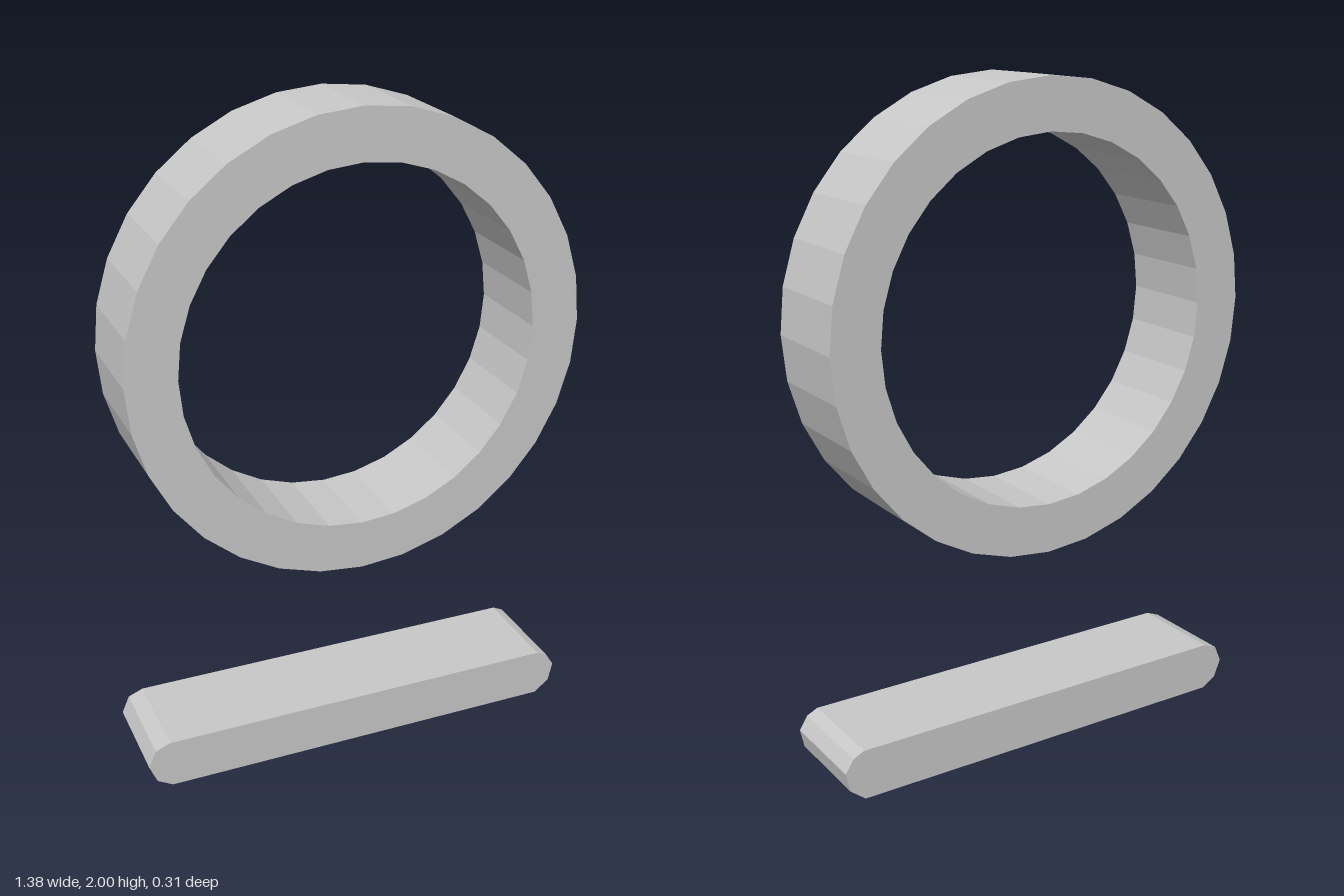
import * as THREE from 'three';

const DEPTH = 0.305;

// Points of a regular polygon, first corner at the top
function circlePoints(radius, sides) {
  const points = [];
  for (let i = 0; i < sides; i++) {
    const a = Math.PI / 2 + (i / sides) * Math.PI * 2;
    points.push(new THREE.Vector2(Math.cos(a) * radius, Math.sin(a) * radius));
  }
  return points;
}

// Flat-faced extrusion centred on z = 0
function extrude(name, shape, material) {
  const geometry = new THREE.ExtrudeGeometry(shape, { depth: DEPTH, bevelEnabled: false });
  geometry.translate(0, 0, -DEPTH / 2);
  const mesh = new THREE.Mesh(geometry, material);
  mesh.name = name;
  return mesh;
}

export function createModel() {
  const group = new THREE.Group();
  group.name = 'ringAndBar';
  const grey = new THREE.MeshStandardMaterial({ color: 0xc8c8c8 });
  grey.name = 'light grey';

  // Upright ring with 32 facets
  const ringShape = new THREE.Shape(circlePoints(0.69, 32));
  ringShape.holes.push(new THREE.Path(circlePoints(0.54, 32)));
  const ring = extrude('ring', ringShape, grey);
  ring.position.y = 1.31;
  group.add(ring);

  // Floating base bar with faceted, slightly uneven rounded ends
  const profile = [
    [-0.62, 0], [0.63, 0], [0.677, 0.038], [0.69, 0.096], [0.664, 0.137], [0.63, 0.153],
    [-0.622, 0.153], [-0.667, 0.135], [-0.69, 0.082], [-0.667, 0.027],
  ];
  const barShape = new THREE.Shape(profile.map(([x, y]) => new THREE.Vector2(x, y)));
  group.add(extrude('baseBar', barShape, grey));

  return group;
}
